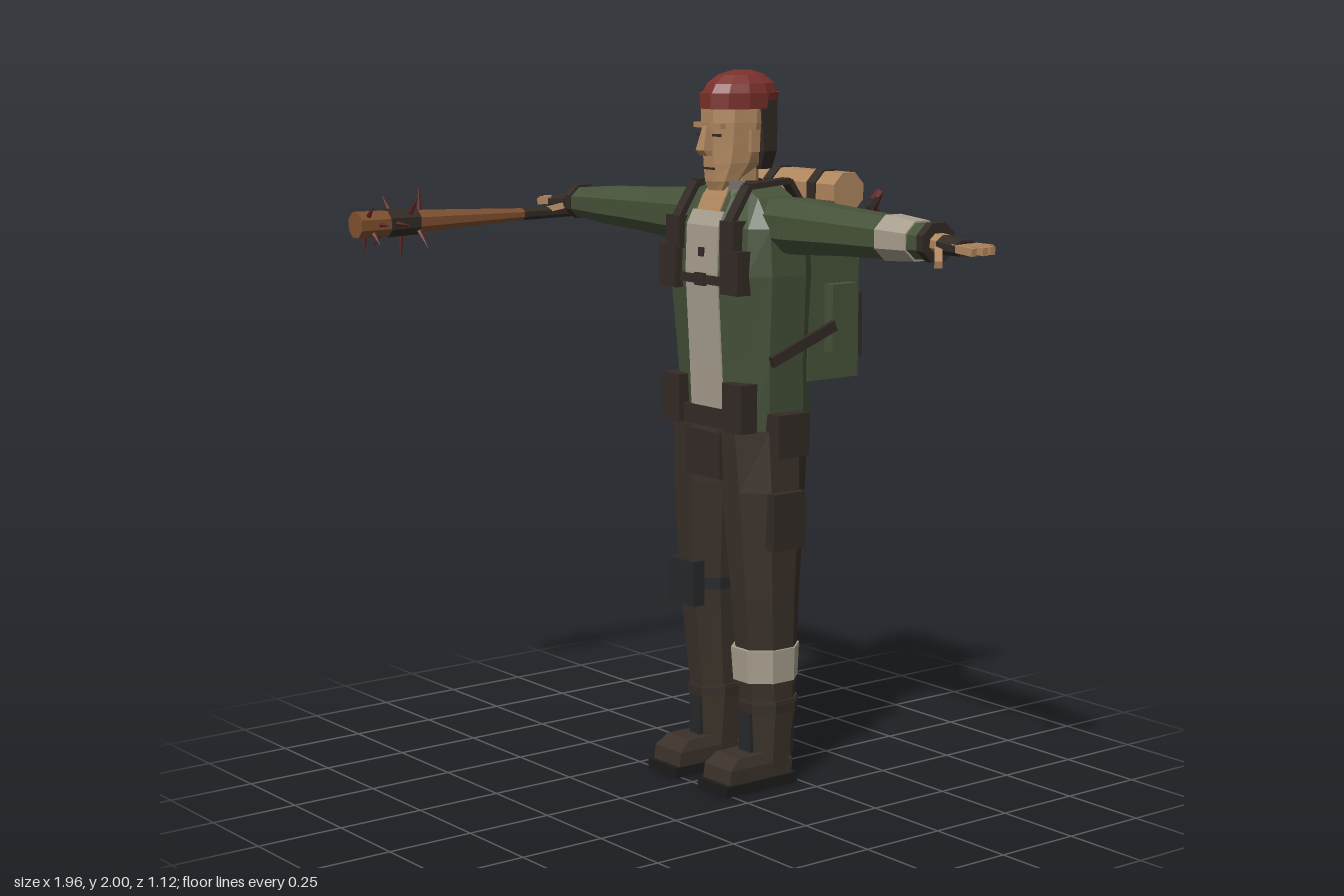
import * as THREE from 'three';

const mat = (name, color) => Object.assign(new THREE.MeshStandardMaterial({ color, flatShading: true, side: THREE.DoubleSide }), { name });
const M = {
  skin: mat('skin tan', 0xb0875f),
  red: mat('beret red', 0x7a302b),
  green: mat('jacket green', 0x465239),
  cloth: mat('pale cloth', 0xa89f8f),
  brown: mat('trouser brown', 0x3a3129),
  gear: mat('gear brown', 0x332b26),
  black: mat('sole black', 0x1d1c1c),
  pad: mat('pad grey', 0x26282b),
  wood: mat('bat wood', 0x80502f),
  rust: mat('spike red', 0x602522),
};

// Skin through rings of points, closed at both ends
function loftGeometry(rings) {
  const pos = [], n = rings[0].length;
  const mid = r => [0, 1, 2].map(k => r.reduce((s, p) => s + p[k], 0) / n);
  const tri = (...p) => p.forEach(v => pos.push(...v));
  const first = rings[0], last = rings[rings.length - 1], c0 = mid(first), c1 = mid(last);
  for (let i = 0; i < n; i++) {
    const j = (i + 1) % n;
    for (let k = 0; k + 1 < rings.length; k++) {
      const a = rings[k], b = rings[k + 1];
      tri(a[i], a[j], b[j]);
      tri(a[i], b[j], b[i]);
    }
    tri(c0, first[j], first[i]);
    tri(c1, last[i], last[j]);
  }
  const g = new THREE.BufferGeometry();
  g.setAttribute('position', new THREE.Float32BufferAttribute(pos, 3));
  g.computeVertexNormals();
  return g;
}

// Polygon ring: height, centre x, centre z, half width, half depth
function ring([y, cx, cz, rx, rz], n) {
  const k = 1 / Math.cos(Math.PI / n);
  return Array.from({ length: n }, (_, i) => {
    const a = (i + 0.5) / n * Math.PI * 2;
    return [cx + rx * k * Math.sin(a), y, cz + rz * k * Math.cos(a)];
  });
}

export function createModel() {
  const root = new THREE.Group();
  root.name = 'survivor';
  const add = (name, geo, m, x = 0, y = 0, z = 0) => {
    const mesh = new THREE.Mesh(geo, m);
    mesh.name = name;
    mesh.position.set(x, y, z);
    root.add(mesh);
    return mesh;
  };
  const loft = (name, m, rows, n = 8) => add(name, loftGeometry(rows.map(r => ring(r, n))), m);
  // Box given by its limits on each axis
  const box = (name, m, x0, x1, y0, y1, z0, z1) =>
    add(name, new THREE.BoxGeometry(Math.abs(x1 - x0), y1 - y0, z1 - z0), m, (x0 + x1) / 2, (y0 + y1) / 2, (z0 + z1) / 2);
  // Bar from a to b
  const beam = (name, m, a, b, w, h) => {
    const p = new THREE.Vector3(...a), q = new THREE.Vector3(...b);
    const mesh = add(name, new THREE.BoxGeometry(w, h, p.distanceTo(q)), m, ...p.clone().lerp(q, 0.5).toArray());
    mesh.lookAt(q);
    return mesh;
  };

  // Jacket rows: height, half width, front z, back z
  const rows = [[1.0, 0.18, -0.06, -0.32], [1.2, 0.195, -0.05, -0.3], [1.45, 0.215, -0.035, -0.3],
    [1.58, 0.21, -0.04, -0.29], [1.66, 0.15, -0.08, -0.26], [1.69, 0.09, -0.1, -0.24]];
  add('jacket', loftGeometry(rows.map(([y, w, f, b]) => {
    const m = (f + b) / 2, e = Math.min(0.07, w * 0.5);
    const half = [[e, f], [0.8 * w, f - 0.02], [w, m + 0.06], [w, m - 0.06], [0.7 * w, b]];
    return [...half, ...half.map(([x, z]) => [-x, z]).reverse()].map(([x, z]) => [x, y, z]);
  })), M.green);
  const plate = (name, m, list) => add(name, loftGeometry(list.map(([y, w, f]) =>
    [[-w, y, f + 0.005], [w, y, f + 0.005], [w, y, f - 0.004], [-w, y, f - 0.004]])), m);
  plate('shirt', M.cloth, [[1.0, 0.07, -0.06], [1.2, 0.07, -0.05], [1.45, 0.07, -0.035], [1.58, 0.07, -0.04], [1.62, 0.068, -0.06]]);
  plate('bareThroat', M.skin, [[1.62, 0.05, -0.06], [1.66, 0.05, -0.08], [1.69, 0.04, -0.1]]);

  // Neck, open collar and head
  loft('neck', M.skin, [[1.56, 0, -0.15, 0.06, 0.06], [1.76, 0, -0.155, 0.055, 0.06]]);
  const collar = add('collar', new THREE.CylinderGeometry(0.088, 0.11, 0.085, 9, 1, true, 0.55, Math.PI * 2 - 1.1), M.gear, 0, 1.66, -0.15);
  collar.scale.z = 0.78;
  loft('head', M.skin, [[1.675, 0, -0.1, 0.035, 0.035], [1.7, 0, -0.115, 0.052, 0.058], [1.75, 0, -0.14, 0.069, 0.084],
    [1.8, 0, -0.15, 0.076, 0.095], [1.86, 0, -0.156, 0.082, 0.105], [1.93, 0, -0.16, 0.082, 0.108]], 10);
  loft('hair', M.gear, [[1.73, 0, -0.212, 0.06, 0.045], [1.78, 0, -0.21, 0.08, 0.055], [1.92, 0, -0.2, 0.087, 0.07]]);
  loft('nose', M.skin, [[1.77, 0, -0.052, 0.017, 0.013], [1.785, 0, -0.045, 0.018, 0.02], [1.85, 0, -0.054, 0.009, 0.012]], 4);
  box('mouth', M.gear, -0.024, 0.024, 1.732, 1.738, -0.062, -0.053);
  for (const s of [-1, 1]) {
    box('eye', M.gear, s * 0.02, s * 0.05, 1.823, 1.83, -0.062, -0.053);
    box('brow', M.skin, s * 0.014, s * 0.06, 1.845, 1.86, -0.068, -0.05);
    box('ear', M.skin, s * 0.075, s * 0.09, 1.78, 1.84, -0.165, -0.135);
  }
  loft('beretBand', M.red, [[1.897, 0, -0.16, 0.087, 0.116], [1.94, 0, -0.164, 0.089, 0.12]], 12);
  loft('beretCrown', M.red, [[1.935, 0, -0.164, 0.082, 0.116], [1.965, 0, -0.168, 0.073, 0.102],
    [1.988, 0, -0.17, 0.05, 0.07], [2.0, 0, -0.17, 0.02, 0.03]], 12);

  // Pelvis and belt gear
  loft('pelvis', M.brown, [[0.89, 0, -0.17, 0.08, 0.1], [0.96, 0, -0.17, 0.16, 0.13], [1.05, 0, -0.18, 0.165, 0.125]]);
  box('frontPouch', M.gear, -0.075, 0.078, 0.88, 1.01, -0.07, -0.035);
  box('belt', M.gear, -0.17, 0.17, 1.02, 1.075, -0.08, -0.045);
  box('chestStrap', M.gear, -0.09, 0.09, 1.42, 1.445, -0.04, -0.026);
  box('buckle', M.gear, -0.022, 0.022, 1.415, 1.45, -0.035, -0.022);
  box('pendant', M.gear, -0.01, 0.012, 1.495, 1.52, -0.04, -0.027);

  for (const s of [-1, 1]) {
    const X = (list) => list.map(([y, x, ...r]) => [y, s * x, ...r]);
    // Legs and boots
    loft('leg', M.brown, X([[0.08, 0.115, -0.185, 0.06, 0.07], [0.25, 0.115, -0.18, 0.07, 0.078], [0.55, 0.117, -0.168, 0.08, 0.096],
      [0.85, 0.107, -0.168, 0.096, 0.118], [1.02, 0.098, -0.17, 0.096, 0.13]]));
    loft('bootShaft', M.brown, X([[0.03, 0.115, -0.175, 0.058, 0.062], [0.22, 0.115, -0.182, 0.074, 0.08], [0.25, 0.115, -0.182, 0.076, 0.08]]));
    loft('bootFoot', M.brown, X([[0.025, 0.115, -0.107, 0.06, 0.112], [0.07, 0.115, -0.112, 0.06, 0.11], [0.1, 0.115, -0.128, 0.05, 0.09]]), 4);
    box('bootSole', M.black, s * 0.052, s * 0.182, 0, 0.03, -0.235, 0.02);
    loft('ankleStrap', M.gear, X([[0.215, 0.115, -0.182, 0.077, 0.084], [0.24, 0.115, -0.182, 0.077, 0.084]]));
    box('shinPanel', M.pad, s * 0.09, s * 0.14, 0.1, 0.215, -0.11, -0.097);
    // Pouches
    box('beltPouch', M.gear, s * 0.097, s * 0.18, 1.02, 1.155, -0.085, -0.028);
    box('hipPouch', M.gear, s * 0.155, s * 0.232, 0.95, 1.07, -0.23, -0.12);
    box('thighPouch', M.gear, s * 0.185, s * 0.226, 0.69, 0.85, -0.22, -0.11);
    box('chestPouch', M.gear, s * 0.1, s * 0.175, 1.4, 1.52, -0.07, -0.018);
    box('chestPouchFlap', M.gear, s * 0.09, s * 0.15, 1.51, 1.6, -0.075, -0.024);
    // Shoulder and side straps
    const path = [[1.45, -0.03], [1.59, -0.035], [1.69, -0.1], [1.7, -0.24], [1.6, -0.31]];
    for (let i = 0; i + 1 < path.length; i++)
      beam('shoulderStrap', M.gear, [s * 0.115, ...path[i]], [s * 0.115, ...path[i + 1]], 0.035, 0.016);
    beam('sideStrap', M.gear, [s * 0.205, 1.215, -0.115], [s * 0.205, 1.3, -0.34], 0.014, 0.03);

    // Arms lie along x, lofted upright and then turned
    const arm = (name, m, list) => {
      const mesh = loft(name, m, list.map(([x, y, z, h, d]) => [x, -s * y, z, h, d]));
      mesh.rotation.z = -s * Math.PI / 2;
    };
    arm('sleeve', M.green, [[0.13, 1.59, -0.178, 0.068, 0.075], [0.24, 1.587, -0.18, 0.075, 0.077],
      [0.45, 1.587, -0.182, 0.062, 0.068], [0.62, 1.586, -0.183, 0.055, 0.06], [0.775, 1.585, -0.184, 0.043, 0.05]]);
    arm('cuff', M.gear, [[0.765, 1.586, -0.184, 0.05, 0.055], [0.79, 1.586, -0.184, 0.05, 0.055]]);
    arm('wrist', M.skin, [[0.78, 1.585, -0.184, 0.026, 0.032], [0.84, 1.583, -0.183, 0.022, 0.032]]);
    arm('glove', M.gear, [[0.82, 1.583, -0.182, 0.025, 0.036], [0.895, 1.58, -0.18, 0.02, 0.04]]);
    [0.955, 0.975, 0.98, 0.955].forEach((x, i) => {
      const z = -0.15 - i * 0.02;
      beam('finger', M.skin, [s * 0.88, 1.582, z], [s * x, 1.576 + i * 0.002, z], 0.017, 0.02);
    });
    beam('thumb', M.skin, [s * 0.825, 1.572, -0.15], [s * 0.9, 1.545, -0.08], 0.02, 0.018);

    // Pack side pocket and bedroll strap
    box('packSidePocket', M.green, s * 0.145, s * 0.185, 1.22, 1.41, -0.44, -0.35);
    const band = add('bedrollStrap', new THREE.CylinderGeometry(0.063, 0.063, 0.035, 8), M.gear, s * 0.095, 1.665, -0.4);
    band.rotation.set(Math.PI / 8, 0, Math.PI / 2, 'XYZ');
    box('packStrap', M.gear, s * 0.08, s * 0.11, 1.37, 1.63, -0.487, -0.47);
  }

  // Bands on one arm and leg, knee pad on the other side
  const armBand = loft('armBand', M.cloth, [[0.615, -1.586, -0.183, 0.06, 0.065], [0.725, -1.585, -0.184, 0.052, 0.058]]);
  armBand.rotation.z = -Math.PI / 2;
  loft('legBand', M.cloth, [[0.305, 0.115, -0.172, 0.08, 0.09], [0.4, 0.115, -0.17, 0.083, 0.096]]);
  box('kneePad', M.pad, -0.175, -0.06, 0.49, 0.62, -0.09, -0.048);
  loft('kneeStrap', M.pad, [[0.535, -0.117, -0.168, 0.086, 0.102], [0.57, -0.117, -0.168, 0.087, 0.104]]);

  // Backpack and bedroll
  box('backpack', M.green, -0.15, 0.15, 1.14, 1.61, -0.475, -0.29);
  box('packLid', M.gear, -0.135, 0.14, 1.585, 1.625, -0.47, -0.29);
  box('packBackPocket', M.gear, -0.115, 0.115, 1.19, 1.37, -0.52, -0.47);
  const roll = add('bedroll', new THREE.CylinderGeometry(0.058, 0.058, 0.38, 8), M.skin, 0, 1.665, -0.4);
  roll.rotation.set(Math.PI / 8, 0, Math.PI / 2, 'XYZ');

  // Crowbar slung across the pack
  const bar = new THREE.CatmullRomCurve3([[0.19, 1.635, -0.49], [0.188, 1.658, -0.515], [0.165, 1.655, -0.535],
    [0.13, 1.6, -0.54], [0, 1.4, -0.543], [-0.15, 1.165, -0.548]].map(p => new THREE.Vector3(...p)));
  add('crowbar', new THREE.TubeGeometry(bar, 20, 0.012, 6), M.rust);
  beam('crowbarTip', M.gear, [0.195, 1.645, -0.5], [0.185, 1.615, -0.478], 0.02, 0.016);
  beam('crowbarClaw', M.gear, [-0.14, 1.18, -0.547], [-0.165, 1.14, -0.552], 0.022, 0.014);
  box('crowbarLoop', M.gear, 0.035, 0.09, 1.475, 1.505, -0.56, -0.47);
  box('crowbarLoop', M.gear, 0.09, 0.14, 1.58, 1.605, -0.56, -0.47);

  // Spiked bat held along z
  const bx = -0.86, by = 1.55;
  const turned = (name, m, list) => {
    const mesh = add(name, loftGeometry(list.map(([z, r]) => ring([z, 0, 0, r, r], 8))), m, bx, by, 0);
    mesh.rotation.x = Math.PI / 2;
  };
  turned('batKnob', M.gear, [[-0.285, 0.022], [-0.25, 0.022]]);
  turned('batGrip', M.gear, [[-0.25, 0.015], [-0.02, 0.018]]);
  turned('batBarrel', M.wood, [[-0.02, 0.017], [0.2, 0.026], [0.42, 0.035], [0.555, 0.037]]);
  turned('batWrap', M.gear, [[0.355, 0.037], [0.455, 0.04]]);
  for (let i = 0; i < 12; i++) {
    const a = i * Math.PI / 4 + (i > 7 ? Math.PI / 4 : 0), z = i < 8 ? 0.34 + (i * 3 % 8) * 0.016 : 0.49 + (i % 3) * 0.018;
    const r = i < 8 ? 0.068 : 0.056;
    const spike = add('spike', new THREE.ConeGeometry(0.009, i < 8 ? 0.08 : 0.055, 5), M.rust, bx + r * Math.sin(a), by + r * Math.cos(a), z);
    spike.rotation.z = -a;
  }
  return root;
}
